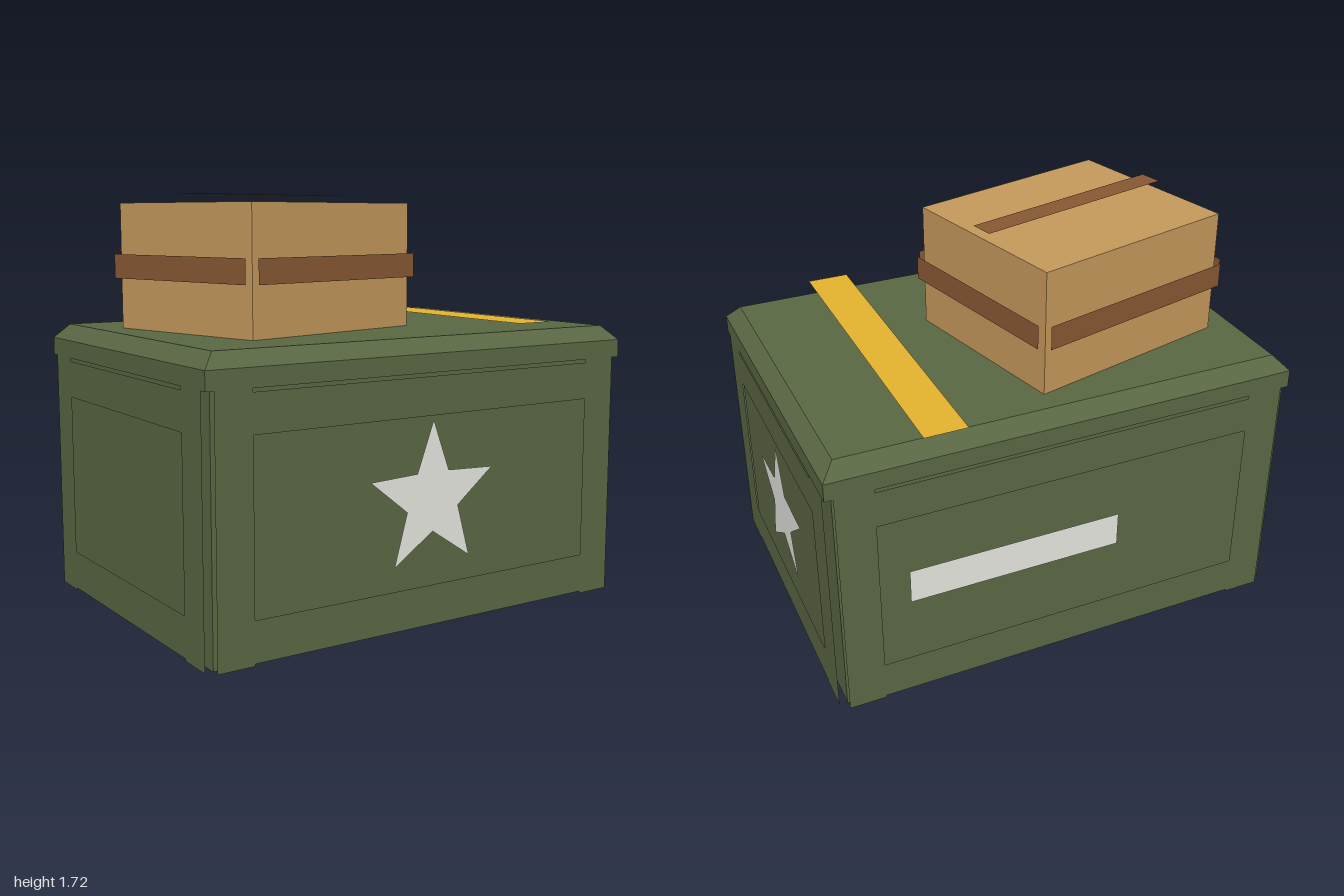
import * as THREE from 'three';

// Thin sheets are seen from both sides
const flat = (name, color, side = THREE.DoubleSide) => {
  const material = new THREE.MeshStandardMaterial({ color, side });
  material.name = name;
  return material;
};
const green = flat('olive green', 0x5a6743);
const white = flat('off white', 0xe4e5de);
const yellow = flat('yellow', 0xe3b32e);
const strapBrown = flat('strap brown', 0x885833);
const cardboard = flat('cardboard', 0xc4985a, THREE.FrontSide);

const HALF_X = 0.965, HALF_Z = 0.682; // crate body
const RIM = 1.025;                    // top of the crate walls
const LID_TOP = 1.16;
const GAP = 0.035;                    // trim sheets stand this far off the surface

function add(parent, name, geometry, material, x = 0, y = 0, z = 0) {
  const mesh = new THREE.Mesh(geometry, material);
  mesh.name = name;
  mesh.position.set(x, y, z);
  parent.add(mesh);
  return mesh;
}

const toPoints = (pairs) => pairs.map(([x, y]) => new THREE.Vector2(x, y));

// One crate side facing +z before turning: wall plus a raised frame sheet
function crateSide(name, angle, w, distance) {
  const side = new THREE.Group();
  side.name = name;
  add(side, 'wall', new THREE.PlaneGeometry(2 * w, RIM), green, 0, RIM / 2, distance);

  // Frame with an open panel and shallow notches along its top and bottom
  const m = w - 0.156;
  const low = 0.009, high = 1.011;
  const frame = new THREE.Shape(toPoints([
    [-w, 0], [-m, 0], [-m, low], [m, low], [m, 0], [w, 0],
    [w, RIM], [m, RIM], [m, high], [-m, high], [-m, RIM], [-w, RIM],
  ]));
  frame.holes.push(new THREE.Path(toPoints([[-m, 0.173], [-m, 0.856], [m, 0.856], [m, 0.173]])));
  add(side, 'wallFrame', new THREE.ShapeGeometry(frame), green, 0, 0, distance + GAP - 0.001);
  side.rotation.y = angle;
  return side;
}

// Flat five-pointed star
function starGeometry() {
  const points = [];
  for (let i = 0; i < 10; i++) {
    const r = i % 2 ? 0.132 : 0.315;
    const a = Math.PI / 2 + i * Math.PI / 5;
    points.push(new THREE.Vector2(r * Math.cos(a), r * Math.sin(a)));
  }
  return new THREE.ShapeGeometry(new THREE.Shape(points));
}

function createCrate() {
  const crate = new THREE.Group();
  crate.name = 'crate';
  const front = crateSide('frontSide', 0, HALF_X, HALF_Z);
  const left = crateSide('leftSide', Math.PI / 2, HALF_Z, HALF_X);
  const back = crateSide('backSide', Math.PI, HALF_X, HALF_Z);
  const right = crateSide('rightSide', -Math.PI / 2, HALF_Z, HALF_X);
  crate.add(front, left, back, right);

  // Markings, level with the frames
  add(front, 'frontStar', starGeometry(), white, 0, 0.524, HALF_Z + GAP - 0.001);
  add(left, 'sideStar', starGeometry(), white, 0, 0.524, HALF_X + GAP - 0.001);
  add(back, 'backStripe', new THREE.PlaneGeometry(0.912, 0.15), white, -0.231, 0.53, HALF_Z + GAP - 0.001);
  return crate;
}

function createLid() {
  const lid = new THREE.Group();
  lid.name = 'lid';
  const depth = 2 * (HALF_Z + GAP);
  add(lid, 'lidLip', new THREE.BoxGeometry(2, 0.075, depth), green, 0, RIM + 0.0375, 0);

  // Chamfered top: pull the upper corners inwards
  const top = new THREE.BoxGeometry(2, 0.06, depth);
  const p = top.attributes.position;
  for (let i = 0; i < p.count; i++) {
    if (p.getY(i) > 0) {
      p.setX(i, p.getX(i) - Math.sign(p.getX(i)) * 0.057);
      p.setZ(i, p.getZ(i) - Math.sign(p.getZ(i)) * 0.055);
    }
  }
  top.computeVertexNormals();
  add(lid, 'lidTop', top, green, 0, LID_TOP - 0.03, 0);

  // Flat band spanning the lid
  const band = add(lid, 'lidBand', new THREE.PlaneGeometry(0.178, depth), yellow, 0.522, LID_TOP + GAP, 0);
  band.rotation.x = -Math.PI / 2;
  return lid;
}

function createParcel() {
  const W = 0.91, H = 0.521, D = 0.796, STRAP = 0.1;
  const parcel = new THREE.Group();
  parcel.name = 'parcel';
  add(parcel, 'parcelBox', new THREE.BoxGeometry(W, H, D), cardboard, 0, H / 2, 0);

  // Straps stand off each side of the box
  for (let i = 0; i < 4; i++) {
    const alongX = i % 2 === 0;
    const angle = i * Math.PI / 2;
    const r = (alongX ? D : W) / 2 + GAP;
    const strap = add(parcel, 'sideStrap', new THREE.PlaneGeometry(alongX ? W : D, STRAP), strapBrown,
      Math.sin(angle) * r, H / 2, Math.cos(angle) * r);
    strap.rotation.y = angle;
  }
  const topStrap = add(parcel, 'topStrap', new THREE.PlaneGeometry(W, STRAP), strapBrown, 0, H + GAP, 0);
  topStrap.rotation.x = -Math.PI / 2;

  parcel.position.set(-0.296, LID_TOP, -0.069);
  parcel.rotation.y = 0.24;
  return parcel;
}

export function createModel() {
  const model = new THREE.Group();
  model.name = 'supplyCrate';
  model.add(createCrate(), createLid(), createParcel());
  return model;
}
